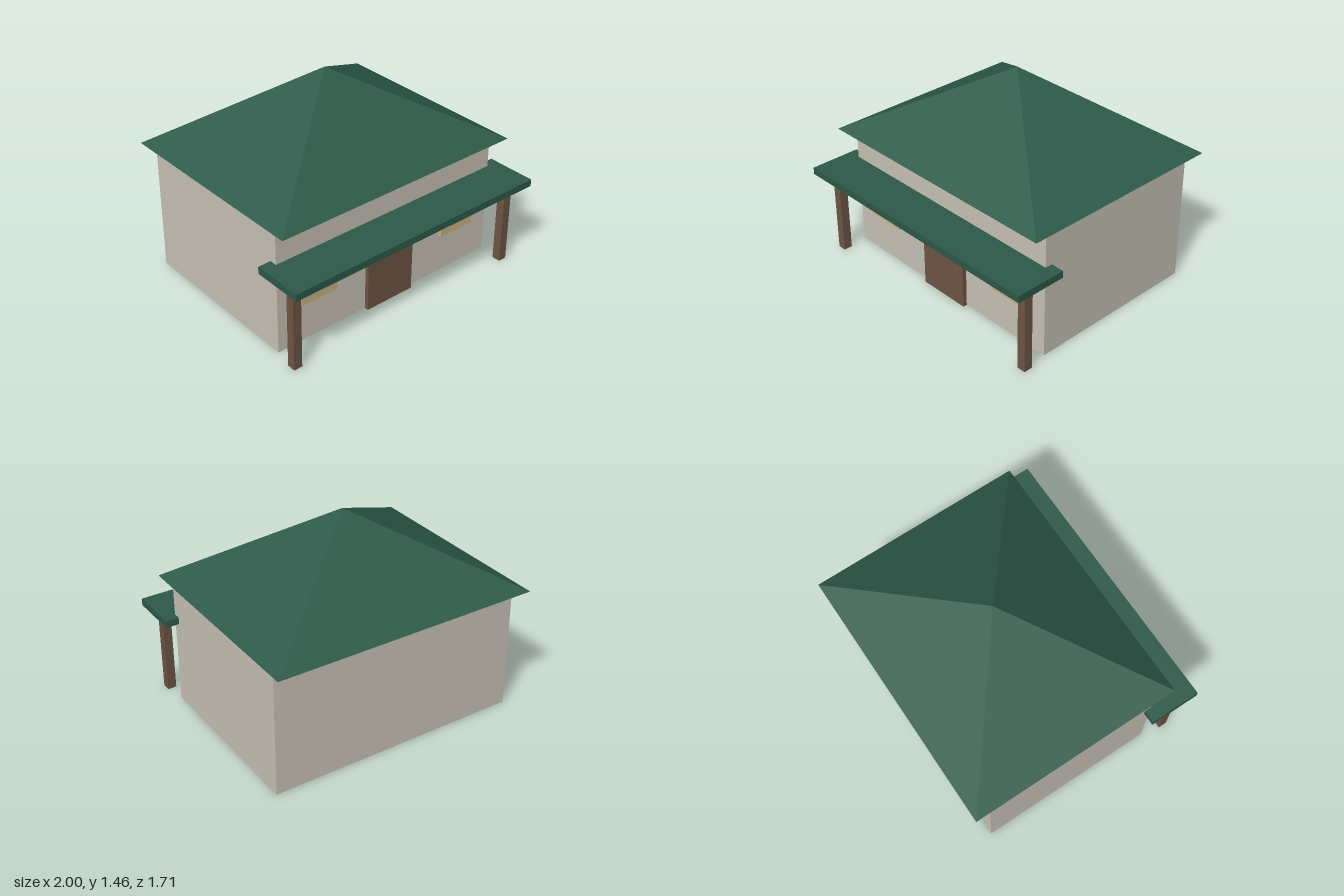
import * as THREE from 'three';

const mat = (name, color) => Object.assign(new THREE.MeshStandardMaterial({ color }), { name });

export function createModel() {
  const house = new THREE.Group();
  house.name = 'house';

  const wall = mat('wall plaster', 0xc8c3b6);
  const green = mat('roof green', 0x2d5a4a);
  const wood = mat('dark wood', 0x6f5545);
  const pane = mat('window tan', 0xc8b480);

  // Box given by its minimum and maximum corners
  function box(name, material, [x0, y0, z0], [x1, y1, z1]) {
    const geometry = new THREE.BoxGeometry(x1 - x0, y1 - y0, z1 - z0);
    const mesh = new THREE.Mesh(geometry, material);
    mesh.position.set((x0 + x1) / 2, (y0 + y1) / 2, (z0 + z1) / 2);
    mesh.name = name;
    house.add(mesh);
  }

  box('walls', wall, [-0.907, 0, -0.727], [0.907, 0.914, 0.543]);
  box('door', wood, [-0.193, 0, 0.546], [0.193, 0.645, 0.575]);
  box('porchRoof', green, [-1, 0.614, 0.491], [1, 0.664, 0.855]);

  // Mirrored windows and porch posts
  for (const [side, s] of [['left', 1], ['right', -1]]) {
    box(side + 'Window', pane, [s * 0.6 - 0.145, 0.295, 0.555], [s * 0.6 + 0.145, 0.645, 0.575]);
    box(side + 'PorchPost', wood, [s * 0.908 - 0.031, 0, 0.68], [s * 0.908 + 0.031, 0.602, 0.742]);
  }

  // Four-sided hip roof, closed underneath
  const pyramid = new THREE.ConeGeometry(Math.SQRT1_2, 1, 4).rotateY(Math.PI / 4);
  pyramid.scale(1.896, 0.542, 1.518);
  const faceted = pyramid.toNonIndexed();
  faceted.computeVertexNormals();
  const roof = new THREE.Mesh(faceted, green);
  roof.position.set(0, 0.914 + 0.271, -0.093);
  roof.name = 'mainRoof';
  house.add(roof);

  return house;
}
